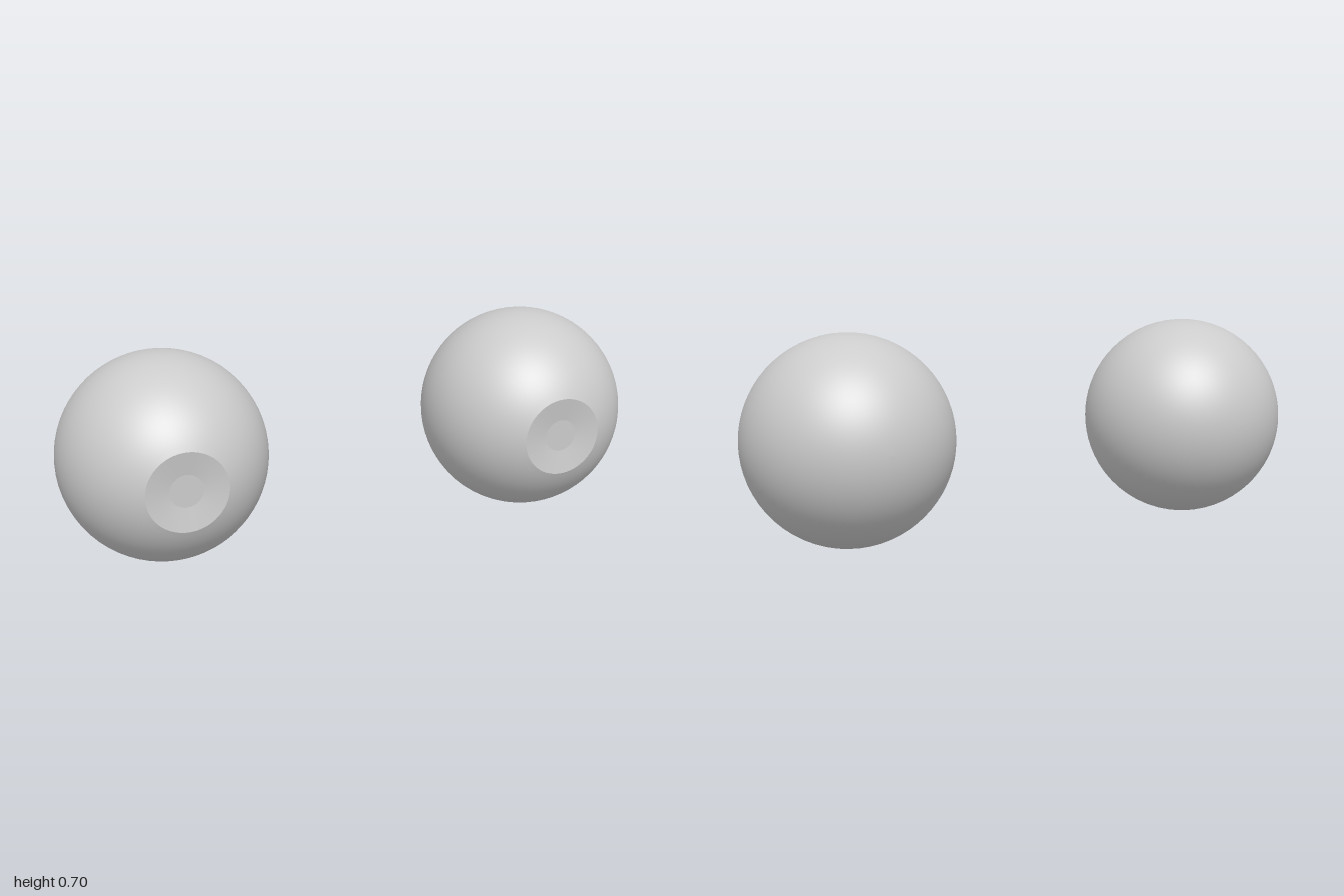
import * as THREE from 'three';

const material = new THREE.MeshStandardMaterial({ color: 0xcccccc, side: THREE.DoubleSide });
const RADIUS = 0.349, DEPTH = 0.353, IRIS = 0.135, PUPIL = 0.055;
const RIM = DEPTH * Math.sqrt(1 - (IRIS / RADIUS) ** 2);

// Turn a profile of [radius, z] points around the z axis
function turned(name, profile) {
  const points = profile.map(([r, z]) => new THREE.Vector2(r, z));
  const geometry = new THREE.LatheGeometry(points, 64).rotateX(Math.PI / 2);
  const mesh = new THREE.Mesh(geometry, material);
  mesh.name = name;
  return mesh;
}

function eyeball(name, x) {
  const group = new THREE.Group();
  group.name = name;

  // Ball, cut open at the front by the iris rim
  const end = Math.PI - Math.asin(IRIS / RADIUS);
  const shell = [];
  for (let i = 0; i <= 48; i++) {
    const a = (end * i) / 48;
    shell.push([RADIUS * Math.sin(a), -DEPTH * Math.cos(a)]);
  }
  group.add(turned('ball', shell));

  // Shallow dished iris with a flat pupil in the middle
  group.add(turned('iris', [[IRIS, RIM], [PUPIL, RIM - 0.012]]));
  group.add(turned('pupil', [[PUPIL, RIM - 0.012], [0, RIM - 0.012]]));

  group.position.set(x, 0.35, 0.014);
  return group;
}

export function createModel() {
  const model = new THREE.Group();
  model.name = 'eyes';
  model.add(eyeball('leftEye', 0.651), eyeball('rightEye', -0.651));
  return model;
}
